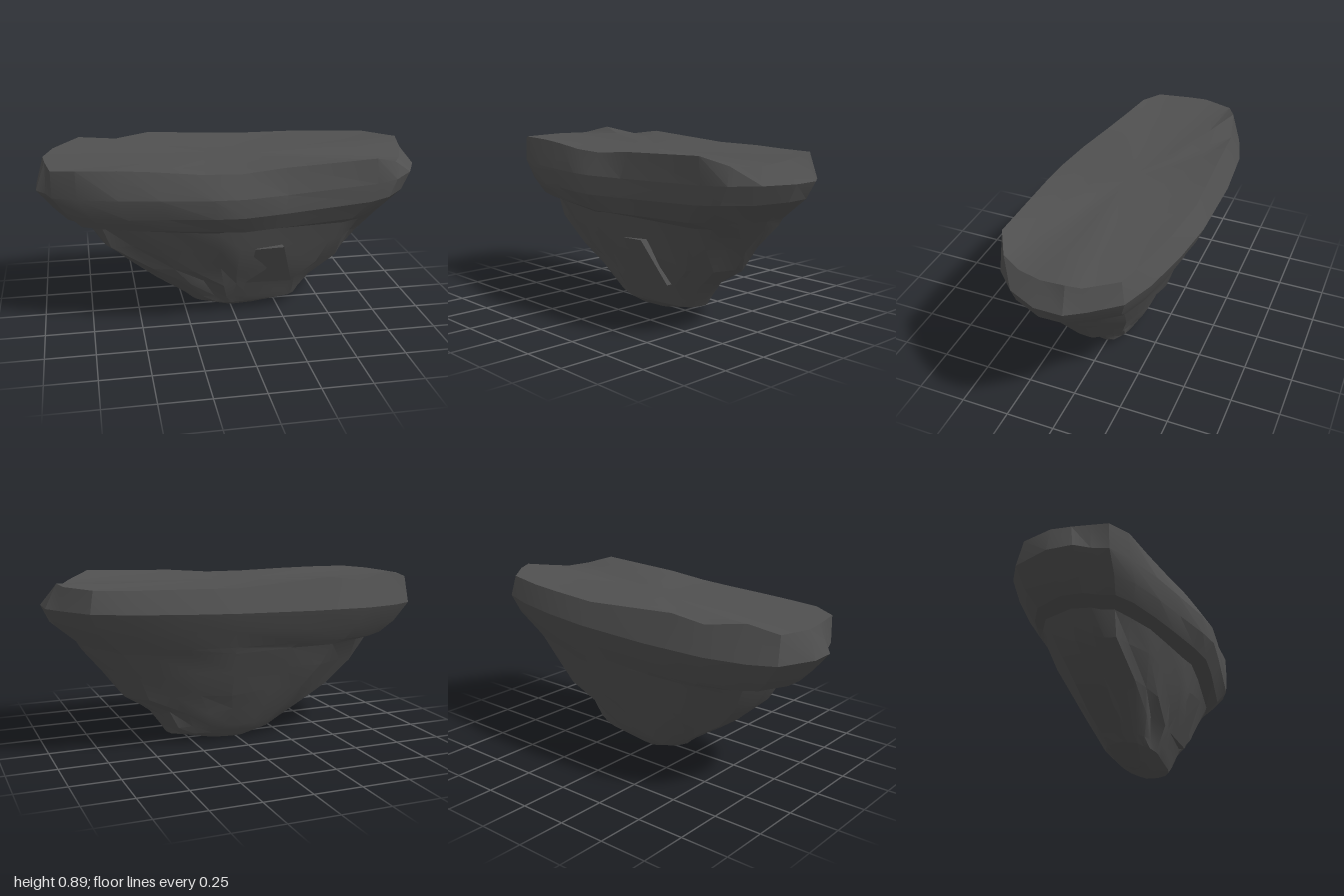
import * as THREE from 'three';
import { toCreasedNormals } from 'three/addons/utils/BufferGeometryUtils.js';

// Widest outline, seen from above: x, z
const OUTLINE = [
  [-1, -0.1], [-0.92, -0.29], [-0.8, -0.36], [-0.6, -0.42], [-0.27, -0.45], [0.14, -0.45],
  [0.41, -0.42], [0.66, -0.37], [0.83, -0.31], [0.94, -0.18], [1, -0.09], [1, 0.05],
  [0.93, 0.2], [0.82, 0.31], [0.7, 0.36], [0.22, 0.42], [0, 0.44], [-0.15, 0.42],
  [-0.4, 0.36], [-0.6, 0.31], [-0.8, 0.24], [-0.92, 0.18], [-0.95, 0.1], [-1, 0.03],
];
// Uneven top rim: x, y, z
const RIM = [
  [-0.96, 0.85, -0.1], [-0.91, 0.85, -0.26], [-0.77, 0.89, -0.32], [-0.57, 0.86, -0.37],
  [-0.39, 0.885, -0.385], [0.12, 0.855, -0.4], [0.4, 0.86, -0.375], [0.6, 0.86, -0.34],
  [0.81, 0.865, -0.29], [0.92, 0.87, -0.15], [0.94, 0.88, -0.08], [0.92, 0.855, 0.05],
  [0.87, 0.835, 0.18], [0.81, 0.845, 0.29], [0.69, 0.885, 0.36], [0.22, 0.865, 0.37],
  [0, 0.845, 0.375], [-0.2, 0.845, 0.35], [-0.42, 0.855, 0.3], [-0.6, 0.86, 0.265],
  [-0.8, 0.86, 0.235], [-0.92, 0.85, 0.175], [-0.935, 0.85, 0.09], [-0.95, 0.85, 0],
];
// Body levels from the foot up: y, reach to -x, +x, +z, -z, roughness, tilt
const LEVELS = [
  [0.005, 0.06, 0.17, 0.055, 0.08, 0, 0],
  [0.05, 0.21, 0.38, 0.125, 0.125, 0.004, 0],
  [0.09, 0.26, 0.4, 0.145, 0.15, 0.006, 0],
  [0.18, 0.39, 0.46, 0.18, 0.195, 0.012, 0],
  [0.28, 0.54, 0.61, 0.235, 0.235, 0.014, 0],
  [0.41, 0.68, 0.7, 0.28, 0.295, 0.014, 0],
  [0.525, 0.75, 0.8, 0.32, 0.345, 0.008, 0],
  [0.555, 0.85, 0.83, 0.395, 0.362, 0.004, 0.01],
  [0.64, 0.92, 0.955, 0.44, 0.41, 0.004, 0.03],
  [0.735, 1, 1, 0.44, 0.45, 0, 0.025],
];

function seeded(seed) {
  return () => {
    seed = (seed * 16807) % 2147483647;
    return (seed / 2147483647) * 2 - 1;
  };
}

// Skins a stack of closed rings and caps both ends with a fan
function skin(rings, bottom, top) {
  const n = rings[0].length;
  const points = [...rings.flat(), bottom, top];
  const b = rings.length * n, t = b + 1, index = [];
  for (let i = 0; i < n; i++) {
    const j = (i + 1) % n;
    index.push(b, i, j);
    for (let r = 0; r < rings.length - 1; r++) {
      const lo = r * n, hi = lo + n;
      index.push(lo + i, hi + i, hi + j, lo + i, hi + j, lo + j);
    }
    index.push(b - n + i, t, b - n + j);
  }
  const g = new THREE.BufferGeometry();
  g.setAttribute('position', new THREE.Float32BufferAttribute(points.flat(), 3));
  g.setIndex(index);
  return toCreasedNormals(g, 0.4);
}

export function createModel() {
  const stone = new THREE.MeshStandardMaterial({ color: 0x505050 });
  stone.name = 'dark stone';
  const group = new THREE.Group();
  group.name = 'floatingRock';

  // Main rock: tapering underside, overhanging lip and shallow top
  const rand = seeded(77);
  const rings = LEVELS.map(([y, xl, xr, zf, zb, rough, tilt]) =>
    OUTLINE.map(([x, z]) => [
      x * (x < 0 ? xl : xr) + rand() * rough,
      y + x * tilt + rand() * rough,
      z * (z < 0 ? zb / 0.45 : zf / 0.44) + rand() * rough,
    ]));
  rings.push(RIM);
  for (const s of [0.75, 0.4]) {
    rings.push(RIM.map(([x, y, z]) => [x * s, 0.847 + (y - 0.847) * s * 0.6, z * s]));
  }
  const rock = new THREE.Mesh(skin(rings, [0.05, 0, 0], [0, 0.847, 0]), stone);
  rock.name = 'rockBody';
  group.add(rock);

  // Angular slab standing out of the front face
  const slabGeometry = new THREE.BoxGeometry(1, 1, 1);
  const p = slabGeometry.attributes.position;
  for (let i = 0; i < p.count; i++) {
    const right = p.getX(i) > 0, up = p.getY(i) > 0, front = p.getZ(i) > 0;
    const x = right ? (up ? 0.235 : 0.305) : (up ? 0.09 : 0.06);
    const y = up ? (right ? 0.42 : 0.41) : 0.18;
    const z = up ? (right ? 0.3 : 0.285) : (right ? 0.185 : 0.175);
    p.setXYZ(i, x, y, front ? z : z - 0.08);
  }
  const slab = new THREE.Mesh(toCreasedNormals(slabGeometry, 0.4), stone);
  slab.name = 'frontSlab';
  group.add(slab);

  return group;
}
